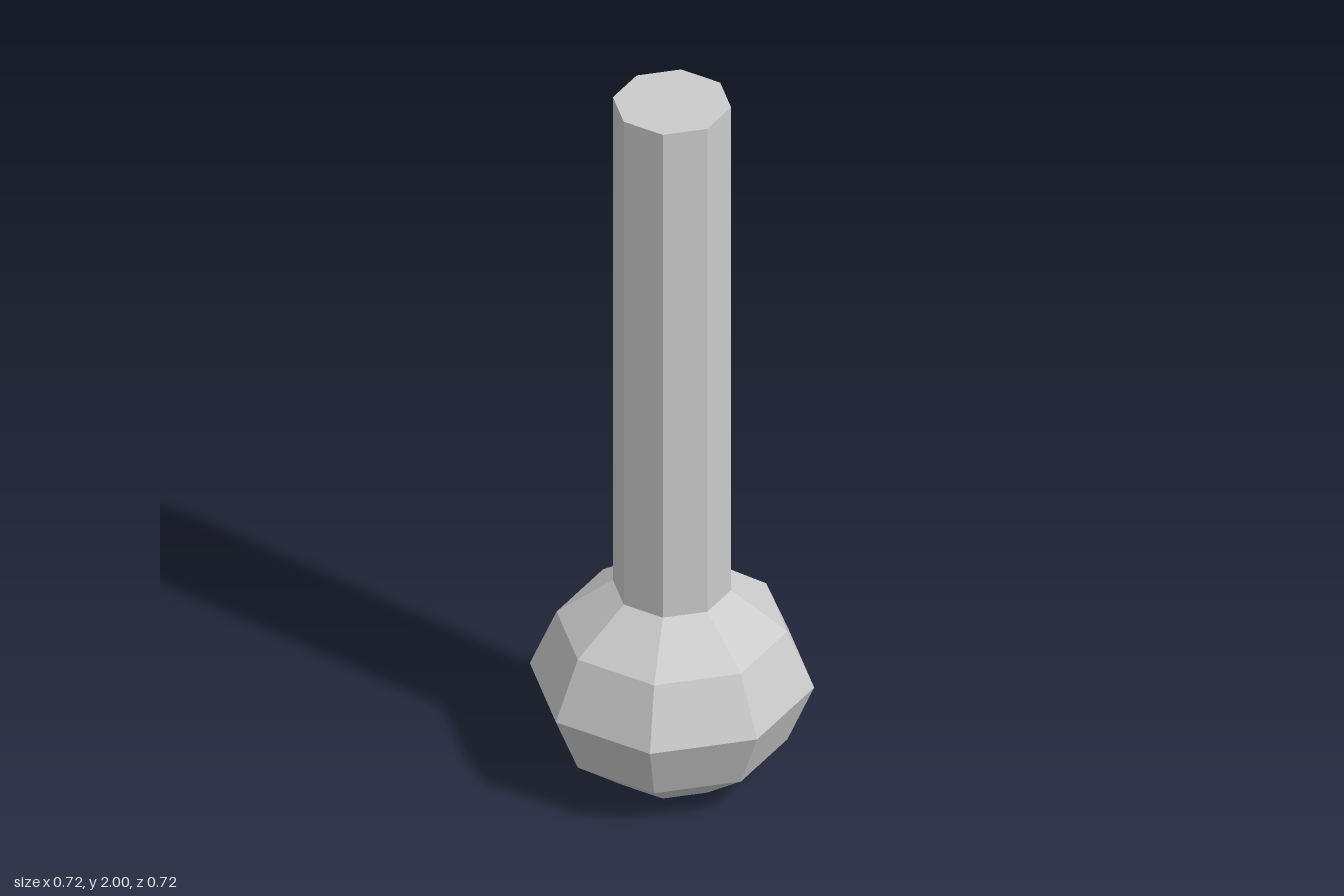
import * as THREE from 'three';

const SIDES = 8;

// Faceted solid of revolution from [radius, height] pairs, bottom to top
function turned(name, profile, material) {
  const points = profile.map(([r, y]) => new THREE.Vector2(r, y));
  const mesh = new THREE.Mesh(new THREE.LatheGeometry(points, SIDES), material);
  mesh.name = name;
  return mesh;
}

export function createModel() {
  const group = new THREE.Group();
  group.name = 'ballEndedRod';
  const material = new THREE.MeshStandardMaterial({
    color: 0xcccccc, flatShading: true, side: THREE.DoubleSide,
  });

  // Ball with a flat base, open where the shaft begins
  group.add(turned('ball', [
    [0, 0], [0.15, 0], [0.293, 0.11], [0.361, 0.273], [0.293, 0.435], [0.15, 0.545],
  ], material));

  // Straight shaft with a flat top
  group.add(turned('shaft', [[0.15, 0.545], [0.15, 2], [0, 2]], material));

  return group;
}
